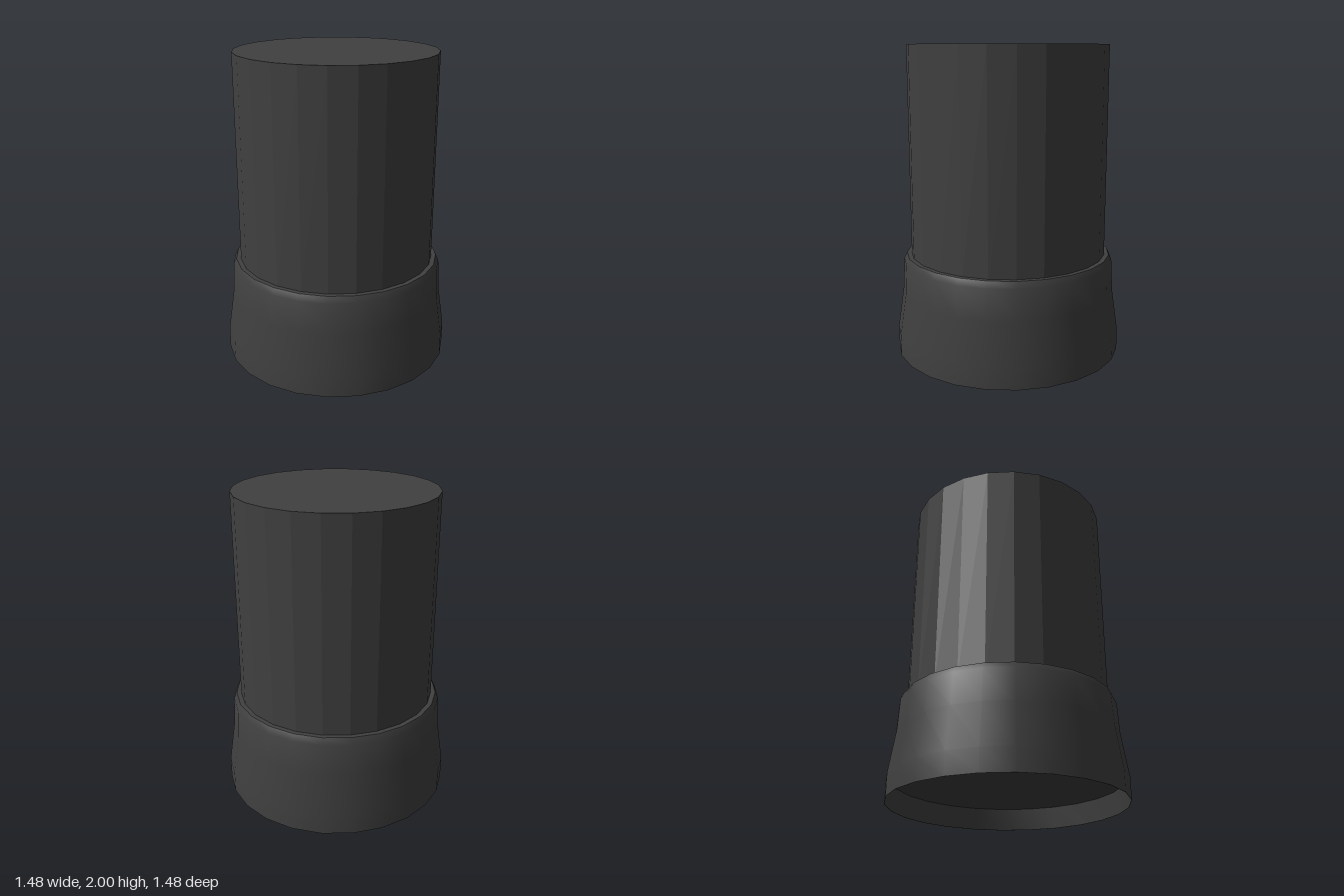
import * as THREE from 'three';
import { toCreasedNormals } from 'three/addons/utils/BufferGeometryUtils.js';

const SIDES = 24;

export function createModel() {
  const group = new THREE.Group();

  // Straight faceted upper body, seated inside the collar
  const bodyBottom = 0.6, bodyTop = 2, bodyRadius = 0.64;
  const body = new THREE.Mesh(
    new THREE.CylinderGeometry(bodyRadius, bodyRadius, bodyTop - bodyBottom, SIDES),
    new THREE.MeshStandardMaterial({ color: 0x404040, flatShading: true })
  );
  body.name = 'body';
  body.position.y = (bodyTop + bodyBottom) / 2;
  group.add(body);

  // Flared collar: recessed floor, thin skirt, tapering wall, bevelled rim
  const profile = [
    [0, 0.14], [0.715, 0.14], [0.738, 0],
    [0.74, 0], [0.74, 0.14], [0.7, 0.41], [0.69, 0.61],
    [0.67, 0.65], [0.63, 0.65],
  ].map(([r, y]) => new THREE.Vector2(r, y));
  const collar = new THREE.Mesh(
    toCreasedNormals(new THREE.LatheGeometry(profile, SIDES), 0.6),
    new THREE.MeshStandardMaterial({ color: 0x404040, side: THREE.DoubleSide })
  );
  collar.name = 'collar';
  group.add(collar);

  return group;
}
